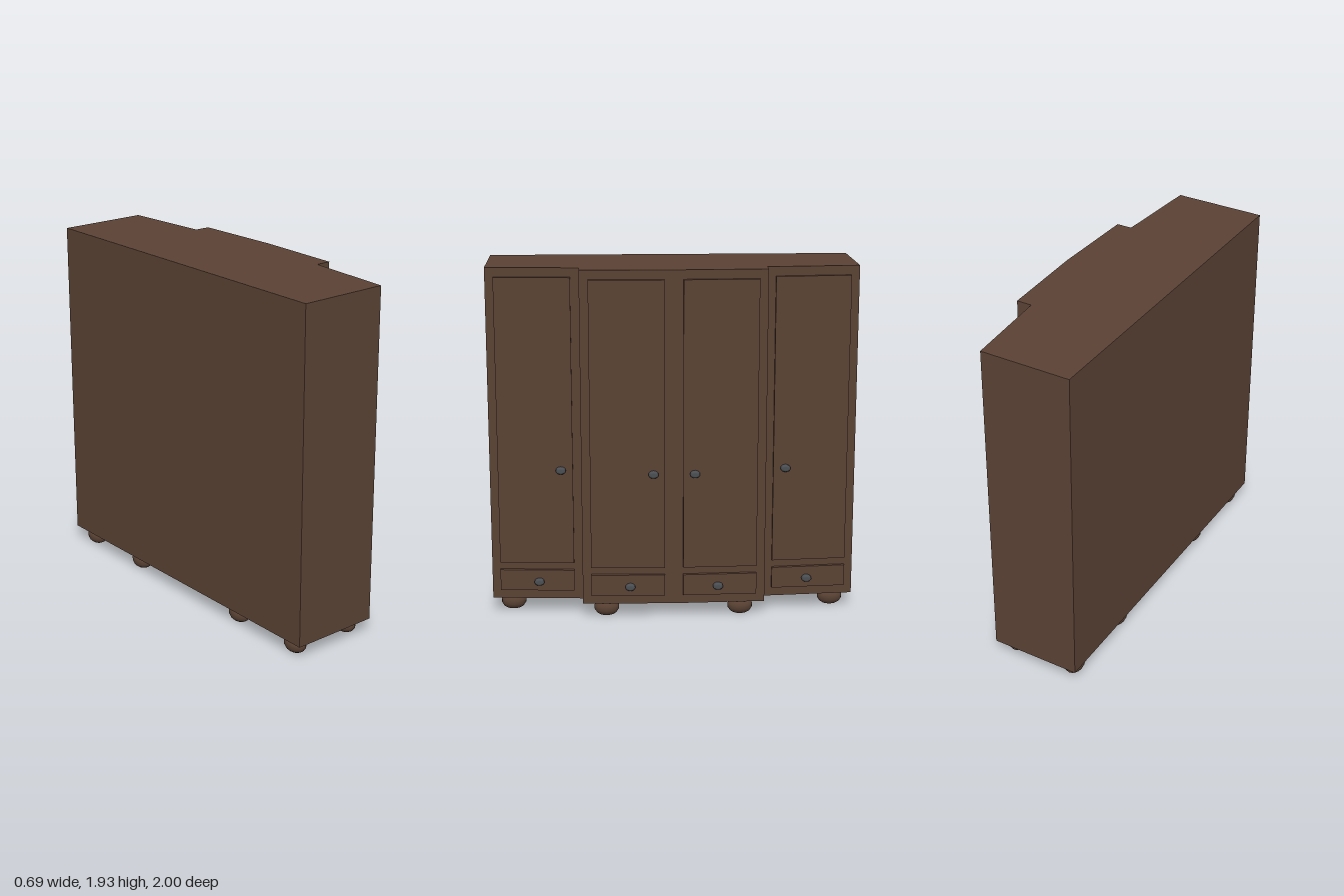
import * as THREE from 'three';
import { toCreasedNormals } from 'three/addons/utils/BufferGeometryUtils.js';

const wood = new THREE.MeshStandardMaterial({ color: 0x5a4234 });
const metal = new THREE.MeshStandardMaterial({ color: 0x4a4e52 });

// Upright prism from a floor plan of [x, z] corners
function prism(name, plan, y0, y1) {
  const shape = new THREE.Shape(plan.map(([x, z]) => new THREE.Vector2(x, -z)));
  const geo = new THREE.ExtrudeGeometry(shape, { depth: y1 - y0, bevelEnabled: false });
  geo.rotateX(-Math.PI / 2).translate(0, y0, 0);
  const mesh = new THREE.Mesh(geo, wood);
  mesh.name = name;
  return mesh;
}

// Turned solid from [radius, height] points
function turned(points) {
  const geo = new THREE.LatheGeometry(points.map(([r, y]) => new THREE.Vector2(r, y)), 16);
  return toCreasedNormals(geo, 0.75);
}

// x of the bowed front at a given z (wings set back, centre breaking forward)
function frontX(z) {
  const a = Math.abs(z);
  return a > 0.5 ? 0.195 - (a - 0.5) * 0.07 : 0.295 - a * 0.03;
}

export function createModel() {
  const wardrobe = new THREE.Group();
  wardrobe.name = 'wardrobe';

  // Carcass with stepped, slightly bowed front
  const back = -0.345;
  wardrobe.add(prism('carcass', [
    [back, 1], [0.16, 1], [0.195, 0.5], [0.28, 0.5], [0.295, 0],
    [0.28, -0.5], [0.195, -0.5], [0.16, -1], [back, -1],
  ], 0.083, 1.927));

  // Raised panel following the slope of the front
  const panel = (name, z0, z1, y0, y1) => {
    const a = frontX(z0), b = frontX(z1), t = 0.02;
    wardrobe.add(prism(name, [[a - t, z0], [a + t, z0], [b + t, z1], [b - t, z1]], y0, y1));
  };

  // Knobs: small turned barrels pointing forward, stretched sideways
  const knobGeo = turned([
    [0, -0.03], [0.008, -0.03], [0.008, -0.019], [0.015, -0.016], [0.02, -0.008],
    [0.02, 0.008], [0.016, 0.016], [0.009, 0.019], [0, 0.019],
  ]);
  knobGeo.rotateZ(-Math.PI / 2).scale(1, 1, 1.37);
  const knob = (name, y, z) => {
    const mesh = new THREE.Mesh(knobGeo, metal);
    mesh.name = name;
    mesh.position.set(frontX(z) + 0.035, y, z);
    wardrobe.add(mesh);
  };

  // Doors and drawers, mirrored about the middle
  for (const s of [1, -1]) {
    for (const [z0, z1, doorKnob, drawerKnob] of [
      [0.05, 0.453, 0.112, 0.24],
      [0.547, 0.955, 0.612, 0.74],
    ]) {
      panel('door', s * z0, s * z1, 0.295, 1.877);
      panel('drawerFront', s * z0, s * z1, 0.135, 0.253);
      knob('doorKnob', 0.827, s * doorKnob);
      knob('drawerKnob', 0.19, s * drawerKnob);
    }
  }

  // Bun feet, flat underneath
  const footGeo = turned([
    [0, 0], [0.028, 0], [0.041, 0.011], [0.05, 0.03], [0.05, 0.053],
    [0.042, 0.072], [0.028, 0.086], [0, 0.086],
  ]);
  footGeo.scale(1, 1, 1.36);
  for (const s of [1, -1]) {
    for (const [x, z] of [[-0.275, 0.89], [-0.275, 0.44], [0.083, 0.89], [0.215, 0.37]]) {
      const foot = new THREE.Mesh(footGeo, wood);
      foot.name = 'foot';
      foot.position.set(x, 0, s * z);
      wardrobe.add(foot);
    }
  }

  return wardrobe;
}
